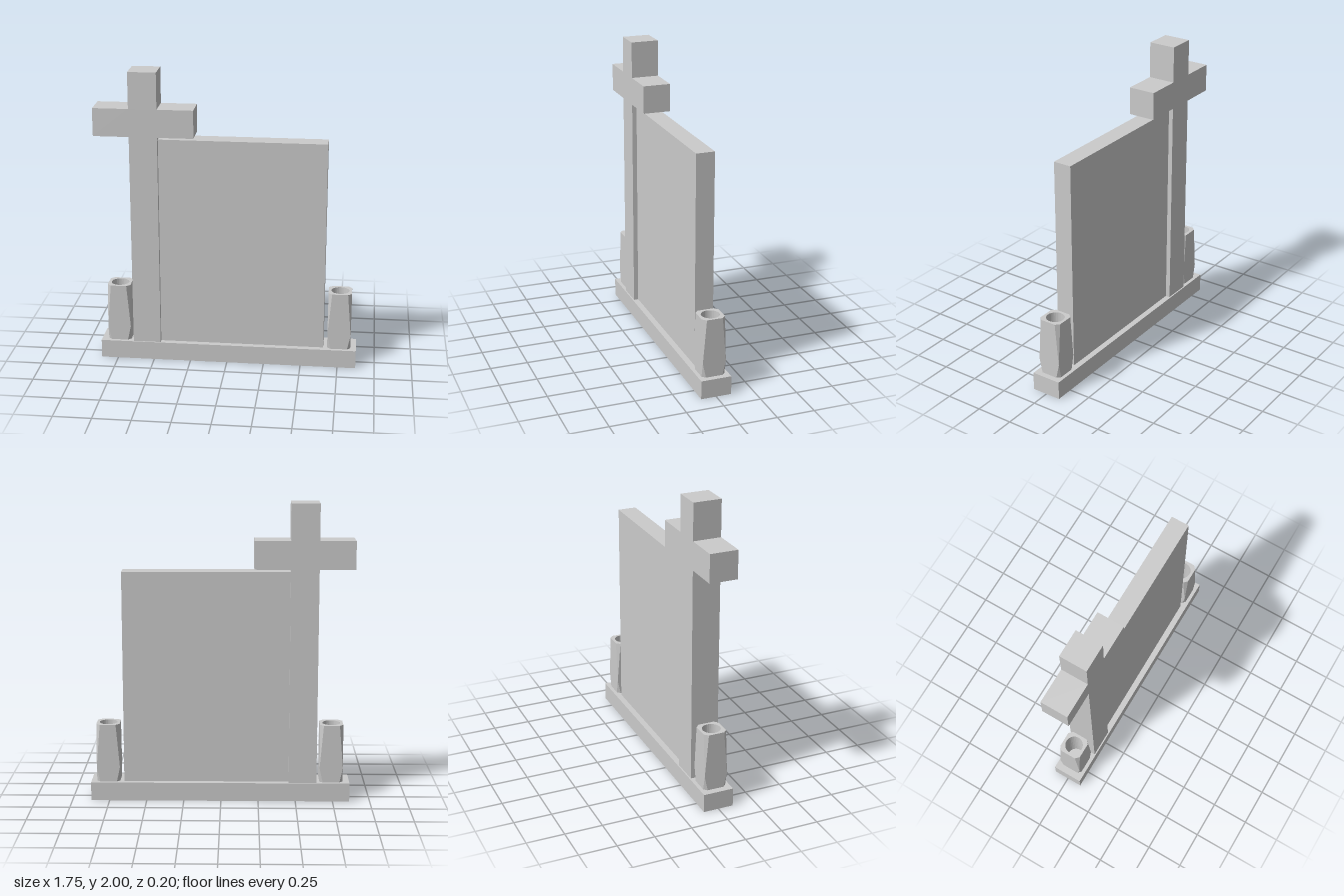
import * as THREE from 'three';

const material = new THREE.MeshStandardMaterial({ color: 0xcccccc, flatShading: true, side: THREE.DoubleSide });

function addMesh(parent, name, geometry) {
  const mesh = new THREE.Mesh(geometry, material);
  mesh.name = name;
  parent.add(mesh);
  return mesh;
}

// box given by its extents in x and y, centred on z
function slab(x0, x1, y0, y1, depth) {
  return new THREE.BoxGeometry(x1 - x0, y1 - y0, depth).translate((x0 + x1) / 2, (y0 + y1) / 2, 0);
}

// corners of a square with its corners cut by c, counter-clockwise in x, y
function cutSquare(h, c) {
  const k = h - c;
  return [[h, -k], [h, k], [k, h], [-k, h], [-h, k], [-h, -k], [-k, -h], [k, -h]];
}

// square vase whose corner cuts vanish at the belly and widen to foot and rim
function vaseSides(h, levels) {
  const rings = levels.map(([y, c]) => cutSquare(h, c).map(([x, z]) => new THREE.Vector3(x, y, -z)));
  const points = [];
  for (let i = 0; i < rings.length - 1; i++) {
    for (let j = 0; j < 8; j++) {
      const a = rings[i][j], b = rings[i][(j + 1) % 8];
      const d = rings[i + 1][j], e = rings[i + 1][(j + 1) % 8];
      if (a.distanceTo(b) > 1e-5) points.push(a, b, e);
      if (d.distanceTo(e) > 1e-5) points.push(a, e, d);
    }
  }
  const geometry = new THREE.BufferGeometry().setFromPoints(points);
  geometry.computeVertexNormals();
  return geometry;
}

function createVase(x) {
  const vase = new THREE.Group();
  vase.name = 'vase';
  const half = 0.078, height = 0.395, bore = 0.06, depth = 0.32, rimCut = 0.025;
  addMesh(vase, 'vaseSides', vaseSides(half, [[0, 0.022], [0.1, 0], [height, rimCut]]));

  // rim with a round opening
  const rim = new THREE.Shape(cutSquare(half, rimCut).map(([px, py]) => new THREE.Vector2(px, py)));
  rim.holes.push(new THREE.Path().absarc(0, 0, bore, 0, Math.PI * 2, true));
  addMesh(vase, 'vaseRim', new THREE.ShapeGeometry(rim, 16).rotateX(-Math.PI / 2).translate(0, height, 0));

  // bore and its floor
  const wall = new THREE.CylinderGeometry(bore, bore, depth, 32, 1, true).translate(0, height - depth / 2, 0);
  addMesh(vase, 'vaseBore', wall);
  addMesh(vase, 'vaseFloor', new THREE.CircleGeometry(bore, 32).rotateX(-Math.PI / 2).translate(0, height - depth, 0));

  vase.position.set(x, 0.125, 0);
  return vase;
}

export function createModel() {
  const model = new THREE.Group();
  model.name = 'headstone';

  addMesh(model, 'base', slab(-0.863, 0.873, 0, 0.125, 0.204));
  addMesh(model, 'panel', slab(-0.455, 0.652, 0.125, 1.55, 0.124));

  // cross: one outline, extruded
  const outline = [
    [-0.641, 0.125], [-0.455, 0.125], [-0.455, 1.57], [-0.217, 1.57], [-0.217, 1.757], [-0.455, 1.757],
    [-0.455, 2], [-0.641, 2], [-0.641, 1.757], [-0.877, 1.757], [-0.877, 1.57], [-0.641, 1.57],
  ];
  const shape = new THREE.Shape(outline.map(([x, y]) => new THREE.Vector2(x, y)));
  const cross = new THREE.ExtrudeGeometry(shape, { depth: 0.186, bevelEnabled: false });
  addMesh(model, 'cross', cross.translate(0, 0, -0.093));

  // one vase at each end of the base
  for (const x of [-0.74, 0.757]) model.add(createVase(x));

  return model;
}
